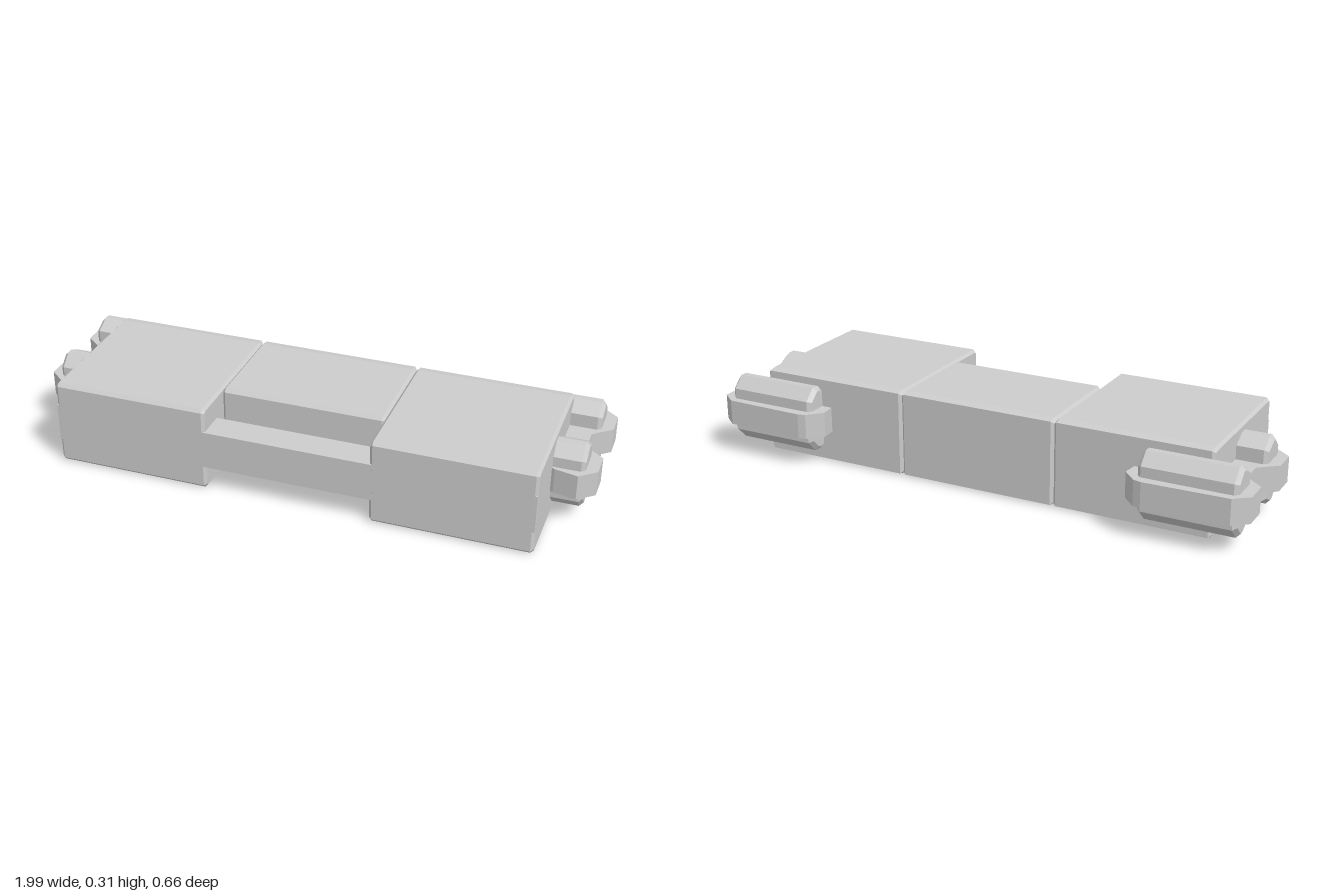
import * as THREE from 'three';

const grey = new THREE.MeshStandardMaterial({ color: 0xcccccc });
grey.name = 'grey';

function add(group, name, geometry) {
  const mesh = new THREE.Mesh(geometry, grey);
  mesh.name = name;
  group.add(mesh);
}

// Extrudes an outline with chamfered ends that stay inside the outline.
function chamfered(points, length, bevel) {
  const shape = new THREE.Shape(points.map(([a, b]) => new THREE.Vector2(a, b)));
  const geometry = new THREE.ExtrudeGeometry(shape, {
    depth: length - 2 * bevel, bevelEnabled: bevel > 0, bevelThickness: bevel,
    bevelSize: bevel, bevelOffset: -bevel, bevelSegments: 1,
  });
  return geometry.translate(0, 0, bevel);
}

// A side profile of [z, y] points, swept from x0 to x1.
function alongX(profile, x0, x1, bevel) {
  return chamfered(profile.map(([z, y]) => [-z, y]), x1 - x0, bevel)
    .rotateY(Math.PI / 2).translate(x0, 0, 0);
}

// Body block profile with chamfered long edges.
const blockProfile = (front) => [
  [front, 0.012], [front - 0.012, 0], [-0.19, 0], [-0.22, 0.006],
  [-0.22, 0.304], [-0.19, 0.31], [front - 0.012, 0.31], [front, 0.298],
];

// Lobe profile, and its copy turned around for the rear.
const frontLobe = [
  [0.107, 0.087], [0.065, 0.045], [0.04, 0.045], [-0.015, 0.073],
  [-0.015, 0.253], [0.04, 0.282], [0.065, 0.282], [0.107, 0.242],
];
const rearLobe = frontLobe.map(([z, y]) => [-0.19 - z, y]);

// Plan of the hooked band as [x, z] points.
const bandPlan = [
  [0.8, 0.09], [0.86, 0.12], [0.94, 0.138], [0.997, 0.09], [0.997, 0], [0.932, -0.053],
  [0.932, -0.14], [0.997, -0.195], [0.997, -0.282], [0.945, -0.325],
  [0.65, -0.332], [0.622, -0.325], [0.575, -0.275], [0.585, -0.2], [0.8, -0.2],
];

export function createModel() {
  const model = new THREE.Group();
  model.name = 'body with side hooks';

  // Shorter middle block and the bar across the front
  add(model, 'middleBlock', alongX(blockProfile(0.17), -0.292, 0.292, 0.01));
  add(model, 'frontBar', new THREE.BoxGeometry(1.698, 0.137, 0.108).translate(0, 0.156, 0.2758));

  for (const s of [1, -1]) {
    const side = new THREE.Group();
    side.name = s > 0 ? 'leftSide' : 'rightSide';
    model.add(side);
    // Sweeps between two distances from the centre on this side
    const sweep = (profile, a, b, bevel) =>
      alongX(profile, s > 0 ? a : -b, s > 0 ? b : -a, bevel);

    add(side, 'sideBlock', sweep(blockProfile(0.33), 0.292, 0.85, 0.01));
    add(side, 'frontLobe', sweep(frontLobe, 0.8, 0.957, 0.014));
    add(side, 'rearLobe', sweep(rearLobe, 0.62, 0.957, 0.014));
    add(side, 'hookBand', chamfered(bandPlan.map(([x, z]) => [s * x, -z]), 0.09, 0)
      .rotateX(-Math.PI / 2).translate(0, 0.115, 0));
  }
  return model;
}
